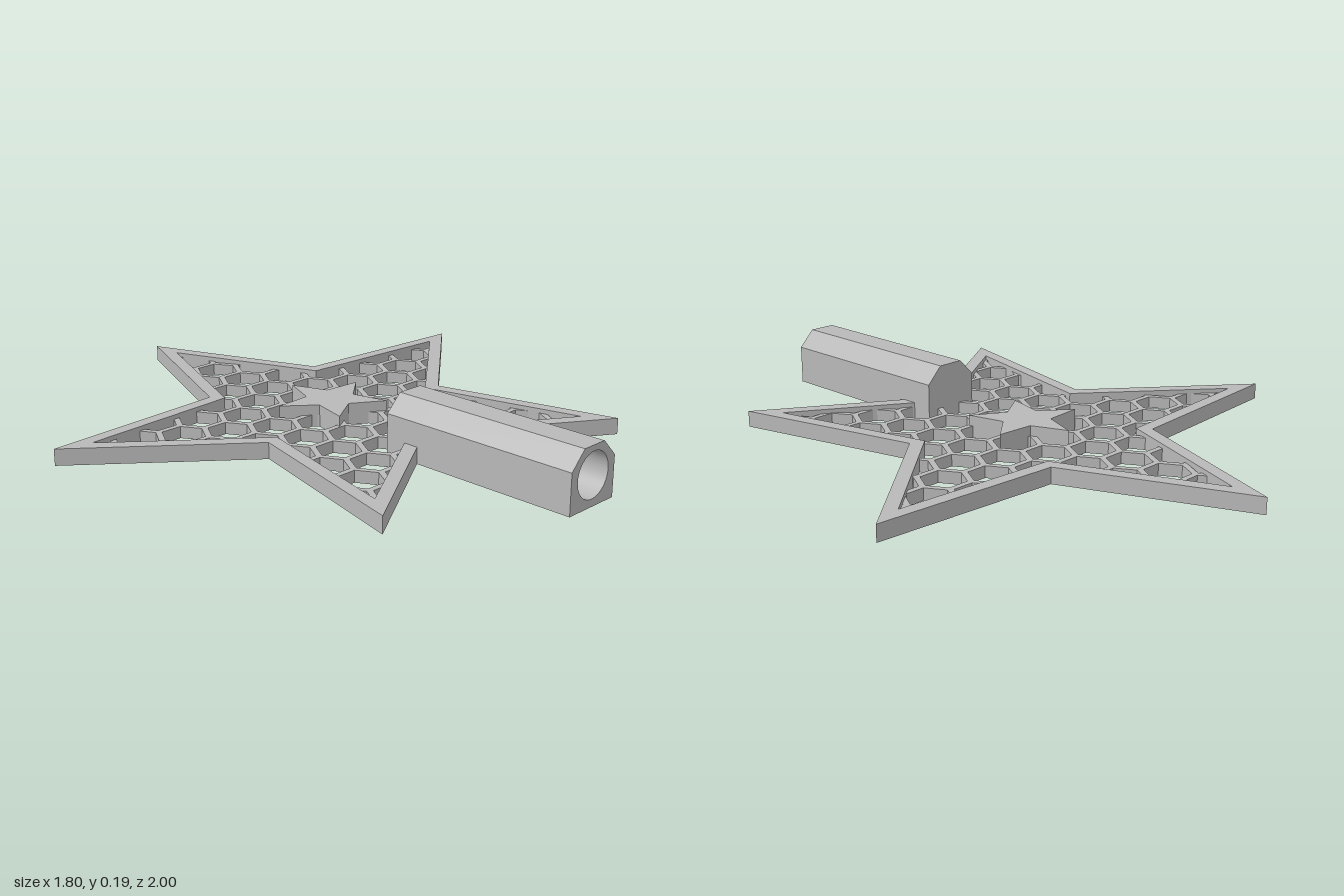
import * as THREE from 'three';
import { mergeGeometries } from 'three/addons/utils/BufferGeometryUtils.js';

const CENTER_Z = -0.055;   // middle of the star
const TIP = 0.945, NOTCH = 0.417;
const RIM_SCALE = 0.873;   // inner outline of the rim
const PITCH = 0.1473, WALL = 0.02;

// Five-pointed outline around the origin, first tip towards +y
function starPoints(scale) {
  const pts = [];
  for (let i = 0; i < 10; i++) {
    const a = i * Math.PI / 5, r = (i % 2 ? NOTCH : TIP) * scale;
    pts.push(new THREE.Vector2(-r * Math.sin(a), r * Math.cos(a)));
  }
  return pts;
}

// True when the point lies inside the star outline
function insideStar(p, scale) {
  const step = Math.PI * 2 / 5, r = p.length();
  let a = Math.atan2(p.x, p.y);
  a = Math.abs(a - Math.round(a / step) * step);
  const R = TIP * scale, vx = NOTCH * scale * Math.sin(step / 2), vy = NOTCH * scale * Math.cos(step / 2);
  return vx * (r * Math.cos(a) - R) - (vy - R) * r * Math.sin(a) <= 0;
}

function extrude(shape, depth) {
  return new THREE.ExtrudeGeometry(shape, { depth, bevelEnabled: false, curveSegments: 32 });
}

// Lay a flat extrusion down so that it rises from y = 0
function layFlat(geometry) {
  return geometry.rotateX(-Math.PI / 2).translate(0, 0, CENTER_Z);
}

// One honeycomb wall with pointed ends that meet neatly three to a corner
function wallGeometry(a, b, height) {
  const dir = b.clone().sub(a).normalize();
  const side = new THREE.Vector2(-dir.y, dir.x).multiplyScalar(WALL / 2);
  const inset = dir.clone().multiplyScalar(WALL / 2 / Math.sqrt(3));
  const a1 = a.clone().add(inset), b1 = b.clone().sub(inset);
  return extrude(new THREE.Shape([
    a, a1.clone().sub(side), b1.clone().sub(side),
    b, b1.clone().add(side), a1.clone().add(side),
  ]), height);
}

function honeycombGeometry(height) {
  const walls = [], R = PITCH / Math.sqrt(3), limit = 0.935, steps = 24;
  for (let i = -8; i <= 8; i++) for (let j = -8; j <= 8; j++) {
    const cx = i * PITCH * Math.sqrt(3) / 2, cy = (j + (i & 1) / 2) * PITCH;
    const node = k => new THREE.Vector2(cx + R * Math.cos(k * Math.PI / 3), cy + R * Math.sin(k * Math.PI / 3));
    // three walls per cell, the others belong to its neighbours
    for (let k = 0; k < 3; k++) {
      const a = node(k), b = node(k + 1), inside = [];
      for (let s = 0; s <= steps; s++) {
        const p = a.clone().lerp(b, s / steps);
        if (insideStar(p, limit)) inside.push(p);
      }
      // trimmed ends stay hidden in the rim
      if (inside.length > 4) walls.push(wallGeometry(inside[0], inside[inside.length - 1], height));
    }
  }
  return mergeGeometries(walls);
}

// Handle cross-section: square below, chamfered on top
function handleShape(withBore) {
  const shape = new THREE.Shape([
    [-0.103, 0], [0.103, 0], [0.103, 0.133], [0.047, 0.19], [-0.047, 0.19], [-0.103, 0.133],
  ].map(([x, y]) => new THREE.Vector2(x, y)));
  if (withBore) shape.holes.push(new THREE.Path().absarc(0, 0.098, 0.073, 0, Math.PI * 2, true));
  return shape;
}

export function createModel() {
  const group = new THREE.Group();
  const grey = new THREE.MeshStandardMaterial({ color: 0xb8b8b8 });
  grey.name = 'grey';
  const add = (name, geometry) => {
    const mesh = new THREE.Mesh(geometry, grey);
    mesh.name = name;
    group.add(mesh);
  };

  // Raised rim around the star
  const rim = new THREE.Shape(starPoints(1));
  rim.holes.push(new THREE.Path(starPoints(RIM_SCALE)));
  add('starRim', layFlat(extrude(rim, 0.055)));

  // Lattice filling the rim
  add('honeycomb', layFlat(honeycombGeometry(0.04)));

  // Small solid star in the middle
  add('centerStar', layFlat(extrude(new THREE.Shape(starPoints(0.2)), 0.075)));

  // Handle: solid root and a bored socket open at the front
  add('handleRoot', extrude(handleShape(false), 0.14).translate(0, 0, 0.3));
  add('handleSocket', extrude(handleShape(true), 0.56).translate(0, 0, 0.44));

  return group;
}
